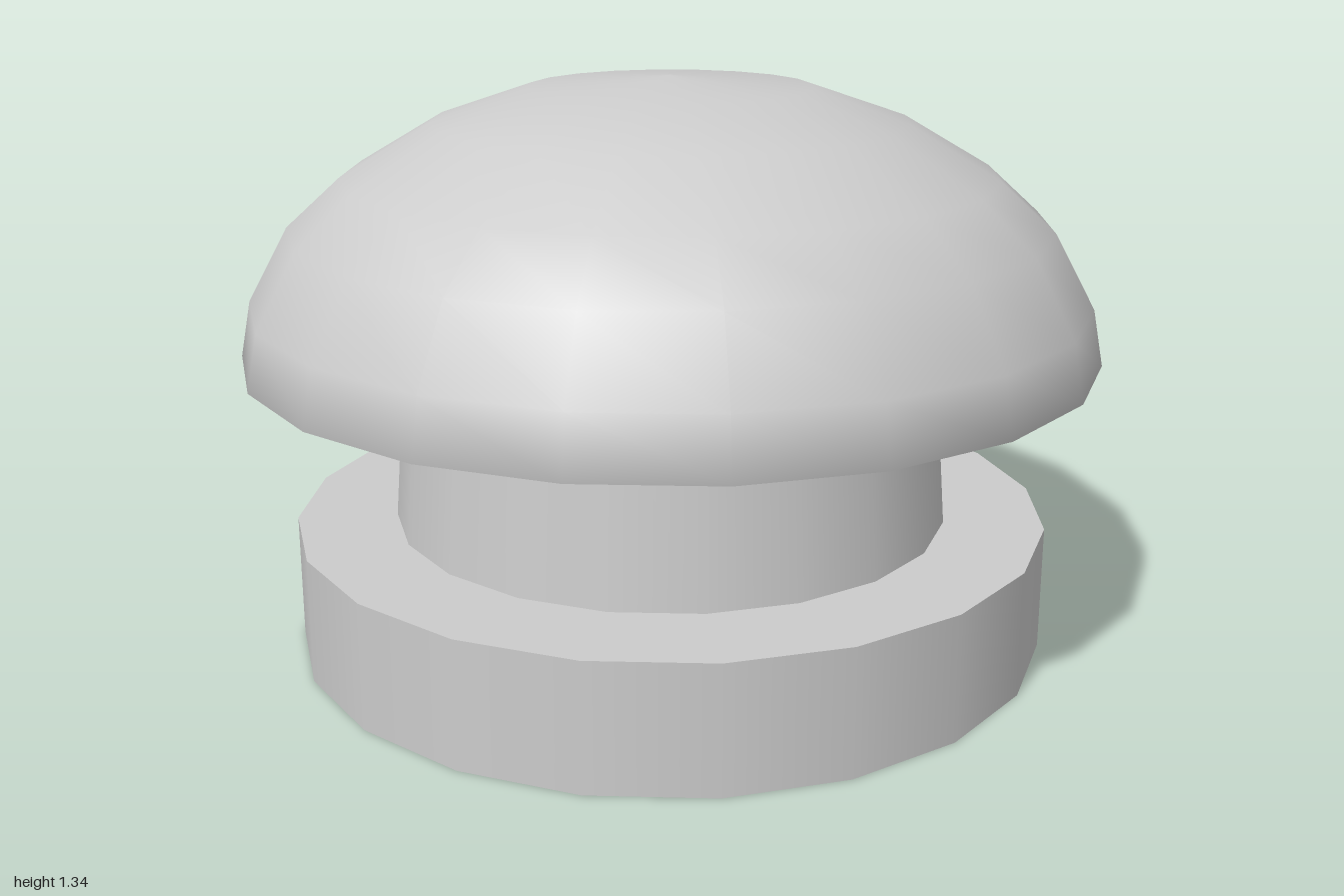
import * as THREE from 'three';

const SIDES = 20;

export function createModel() {
  const group = new THREE.Group();
  // Every part is a thin open shell, so both faces show.
  const material = new THREE.MeshStandardMaterial({ color: 0xcccccc, side: THREE.DoubleSide });

  // Revolves a profile of [radius, height] pairs, listed outward-facing.
  function addShell(name, profile) {
    const points = profile.map(([r, y]) => new THREE.Vector2(r, y));
    const mesh = new THREE.Mesh(new THREE.LatheGeometry(points, SIDES), material);
    mesh.name = name;
    group.add(mesh);
  }

  // Base: hollow skirt, open underneath, with a flat ledge on top
  addShell('baseWall', [[0.895, 0], [0.895, 0.295]]);
  addShell('baseLedge', [[0.895, 0.295], [0.66, 0.295]]);

  // Tapered hollow stem
  addShell('stem', [[0.66, 0.295], [0.625, 0.745]]);

  // Mushroom cap: recessed underside, soft rim and dome
  addShell('cap', [
    [0.625, 0.745], [0.945, 0.69], [1, 0.70], [0.975, 0.83], [0.882, 1.0],
    [0.757, 1.113], [0.55, 1.235], [0.33, 1.31], [0, 1.335],
  ]);

  return group;
}
